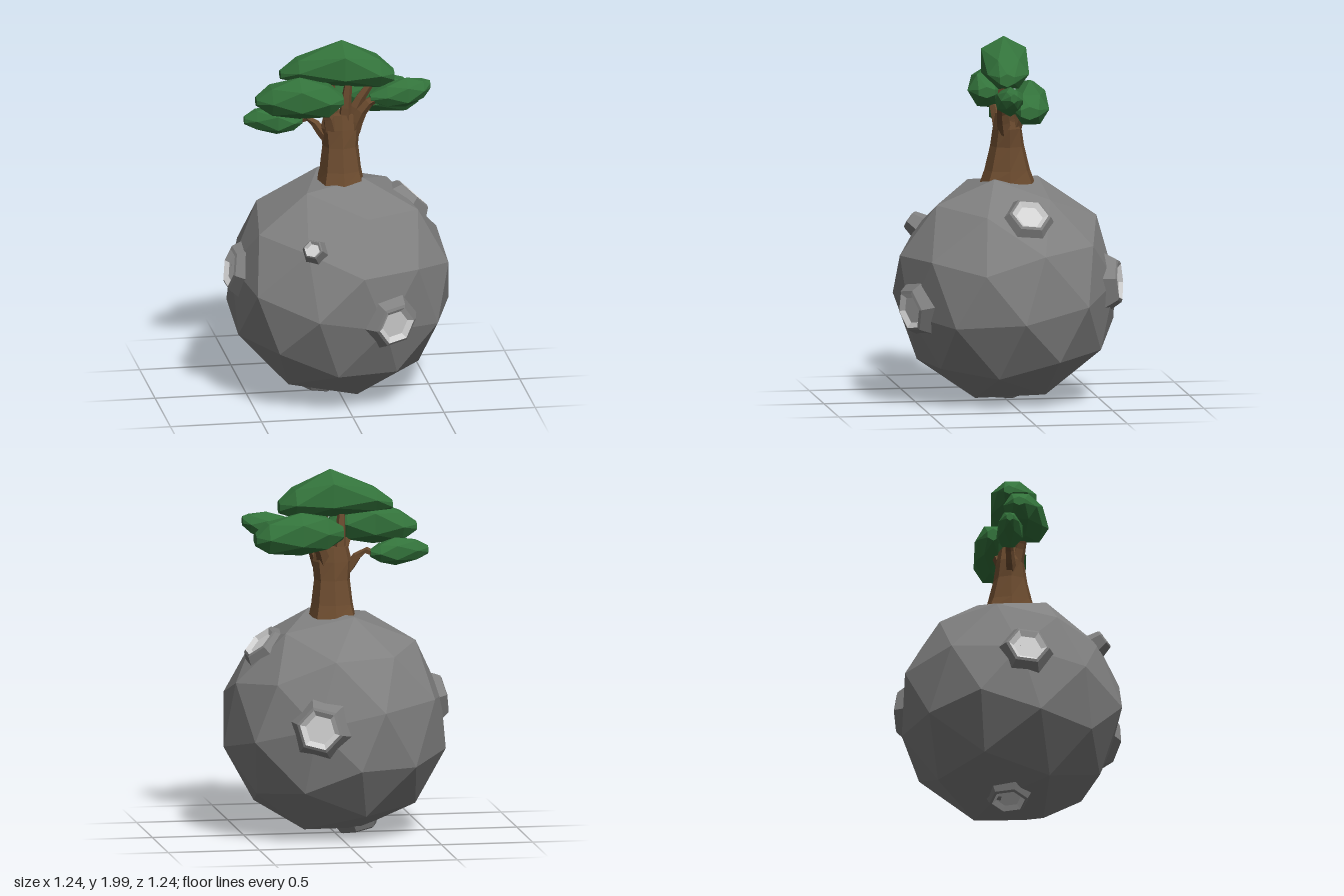
import * as THREE from 'three';

const CENTER = new THREE.Vector3(0, 0.625, 0);
const RADIUS = 0.625;
const UP = new THREE.Vector3(0, 1, 0);

function mat(name, color, side = THREE.FrontSide) {
  const m = new THREE.MeshStandardMaterial({ color, flatShading: true, side });
  m.name = name;
  return m;
}

function mesh(name, geometry, material) {
  const m = new THREE.Mesh(geometry, material);
  m.name = name;
  return m;
}

// Move every vertex of a geometry by a rule
function reshape(geometry, rule) {
  const p = geometry.attributes.position;
  const v = new THREE.Vector3();
  for (let i = 0; i < p.count; i++) {
    v.fromBufferAttribute(p, i);
    rule(v);
    p.setXYZ(i, v.x, v.y, v.z);
  }
  geometry.computeVertexNormals();
  return geometry;
}

// Branch that narrows along its path
function branch(points, r0, r1) {
  const curve = new THREE.CatmullRomCurve3(points.map((p) => new THREE.Vector3(...p)));
  const steps = 5, sides = 5;
  const g = new THREE.TubeGeometry(curve, steps, r0, sides, false);
  const p = g.attributes.position;
  const v = new THREE.Vector3();
  for (let i = 0; i < p.count; i++) {
    const t = Math.floor(i / (sides + 1)) / steps;
    const c = curve.getPointAt(t);
    v.fromBufferAttribute(p, i).sub(c).multiplyScalar(1 + (r1 / r0 - 1) * t).add(c);
    p.setXYZ(i, v.x, v.y, v.z);
  }
  g.computeVertexNormals();
  return g;
}

// Faceted clump from sections along x: [x, top, bottom, back, front]
function clump(sections) {
  const sides = 6, pos = [], index = [];
  sections.forEach(([x, top, bottom, back, front], s) => {
    for (let i = 0; i < sides; i++) {
      // every other section is turned by half a step
      const a = ((i + (s % 2) / 2) / sides) * Math.PI * 2;
      const grow = s % 2 ? 1.08 : 1.02;
      pos.push(x,
        (top + bottom) / 2 + ((top - bottom) / 2) * Math.cos(a) * grow,
        (front + back) / 2 + ((front - back) / 2) * Math.sin(a) * grow);
    }
  });
  for (let s = 0; s < sections.length - 1; s++) {
    for (let i = 0; i < sides; i++) {
      const j = (i + 1) % sides;
      const a = s * sides + i, b = s * sides + j;
      const c = a + sides, d = b + sides;
      if (s % 2) index.push(a, d, c, a, b, d);
      else index.push(a, b, c, b, d, c);
    }
  }
  const last = (sections.length - 1) * sides;
  for (let i = 1; i < sides - 1; i++) {
    index.push(0, i + 1, i, last, last + i, last + i + 1);
  }
  const g = new THREE.BufferGeometry();
  g.setAttribute('position', new THREE.Float32BufferAttribute(pos, 3));
  g.setIndex(index);
  g.computeVertexNormals();
  return g;
}

export function createModel() {
  const model = new THREE.Group();
  model.name = 'planetWithTree';
  const rock = mat('rock', 0x808080, THREE.DoubleSide);
  const paleRock = mat('paleRock', 0xd2d2d2, THREE.DoubleSide);
  const bark = mat('bark', 0x6a4a2e, THREE.DoubleSide);
  const leaf = mat('leaf', 0x33733b, THREE.DoubleSide);

  // Craters: direction from the planet centre, outer radius, lift
  const craters = [
    ['frontCrater', [0.23, -0.085, 0.57], 0.135, 0],
    ['smallCrater', [-0.225, 0.36, 0.51], 0.06, 0.025],
    ['rightCrater', [-0.59, 0.12, 0.05], 0.13, -0.005],
    ['upperCrater', [0.45, 0.48, -0.065], 0.125, 0.005],
    ['backCrater', [0.18, 0.045, -0.58], 0.14, 0],
    ['bottomCrater', [-0.13, -0.6, -0.02], 0.115, -0.01],
  ].map(([name, d, r, lift]) => ({ name, r, lift, dir: new THREE.Vector3(...d).normalize() }));

  // Planet, sunk only beneath the crater floors
  const ball = new THREE.IcosahedronGeometry(RADIUS, 1);
  ball.rotateX(0.3).rotateY(0.2).rotateZ(0.4);
  reshape(ball, (v) => {
    for (const c of craters) {
      const off = v.distanceTo(c.dir.clone().multiplyScalar(RADIUS));
      if (off < c.r + 0.02) v.setLength(0.598);
    }
  });
  const planet = mesh('planet', ball, rock);
  planet.position.copy(CENTER);
  model.add(planet);

  // Six-sided sloping rims with pale bowls
  for (const { name, dir, r, lift } of craters) {
    const g = new THREE.Group();
    g.name = name;
    const ring = [[r * 1.25, 0.545], [r * 0.92, 0.615], [r * 0.8, 0.622]];
    const bowl = [[r * 0.8, 0.622], [r * 0.58, 0.601], [0, 0.601]];
    const lathe = (pts) =>
      new THREE.LatheGeometry(pts.map(([x, y]) => new THREE.Vector2(x, y + lift)), 6);
    g.add(mesh('craterRim', lathe(ring), rock), mesh('craterBowl', lathe(bowl), paleRock));
    g.position.copy(CENTER);
    g.quaternion.setFromUnitVectors(UP, dir);
    model.add(g);
  }

  // Trunk: eight sides, flared into roots
  const levels = [[1.2, 0.135, 0.16, 0.12], [1.27, 0.118, 0.13, 0.08], [1.4, 0.1, 0.095, 0.04],
    [1.5, 0.11, 0.08, 0.04], [1.58, 0.09, 0.065, 0.04]];
  const trunk = reshape(new THREE.CylinderGeometry(1, 1, 4, 8, 4), (v) => {
    const [y, rx, rz, flute] = levels[Math.round(v.y + 2)];
    const side = Math.round(Math.atan2(v.z, v.x) / (Math.PI / 4));
    const k = side % 2 ? 1 + flute * 0.5 : 1 - flute * 0.5;
    v.set(0.015 + v.x * rx * k, y, v.z * rz * k);
  });
  model.add(mesh('trunk', trunk, bark));

  // Branches
  const branches = [
    [[-0.05, 1.43, 0], [-0.1, 1.49, -0.01], [-0.15, 1.555, -0.02], [-0.21, 1.535, -0.03], [-0.28, 1.51, -0.03]],
    [[-0.04, 1.5, 0.03], [-0.06, 1.58, 0.05], [-0.11, 1.66, 0.07]],
    [[-0.02, 1.5, -0.02], [-0.03, 1.62, -0.01], [-0.04, 1.8, 0.01]],
    [[0.04, 1.5, 0.02], [0.04, 1.62, 0.03], [0.06, 1.8, 0.03]],
    [[0.07, 1.5, 0], [0.1, 1.62, 0.01], [0.19, 1.76, 0.02]],
    [[0.08, 1.48, 0.02], [0.12, 1.59, 0.04], [0.18, 1.66, 0.05], [0.28, 1.69, 0.05]],
    [[0.06, 1.5, -0.03], [0.09, 1.58, -0.06], [0.15, 1.65, -0.1]],
  ];
  branches.forEach((pts, i) =>
    model.add(mesh('branch' + (i + 1), branch(pts, i ? 0.042 : 0.032, i ? 0.018 : 0.012), bark)));

  // Foliage clumps
  const foliage = {
    topFoliage: [[-0.31, 1.83, 1.78, -0.06, 0], [-0.22, 1.9, 1.77, -0.08, 0.07],
      [0.02, 1.997, 1.74, -0.12, 0.16], [0.22, 1.9, 1.735, -0.08, 0.13], [0.3, 1.83, 1.76, 0, 0.09]],
    rightFoliage: [[-0.45, 1.7, 1.65, -0.02, 0.05], [-0.37, 1.76, 1.6, -0.06, 0.11],
      [-0.22, 1.81, 1.58, -0.04, 0.17], [-0.07, 1.785, 1.6, 0, 0.195], [0.01, 1.72, 1.66, 0.06, 0.16]],
    lowRightFoliage: [[-0.505, 1.575, 1.53, -0.06, -0.02], [-0.44, 1.61, 1.5, -0.09, 0.01],
      [-0.33, 1.62, 1.47, -0.1, 0.05], [-0.24, 1.59, 1.49, -0.09, 0.03], [-0.19, 1.56, 1.52, -0.06, 0]],
    leftFoliage: [[0.17, 1.69, 1.65, 0.03, 0.07], [0.26, 1.74, 1.62, -0.02, 0.1],
      [0.37, 1.77, 1.61, -0.04, 0.12], [0.46, 1.76, 1.66, -0.01, 0.1], [0.5, 1.75, 1.7, 0.02, 0.06]],
    backLeftFoliage: [[-0.03, 1.7, 1.63, -0.13, -0.06], [0.06, 1.76, 1.58, -0.17, -0.03],
      [0.2, 1.78, 1.55, -0.19, 0], [0.38, 1.73, 1.56, -0.165, 0.02], [0.445, 1.67, 1.6, -0.11, 0]],
  };
  for (const [name, sections] of Object.entries(foliage)) {
    model.add(mesh(name, clump(sections), leaf));
  }
  return model;
}
